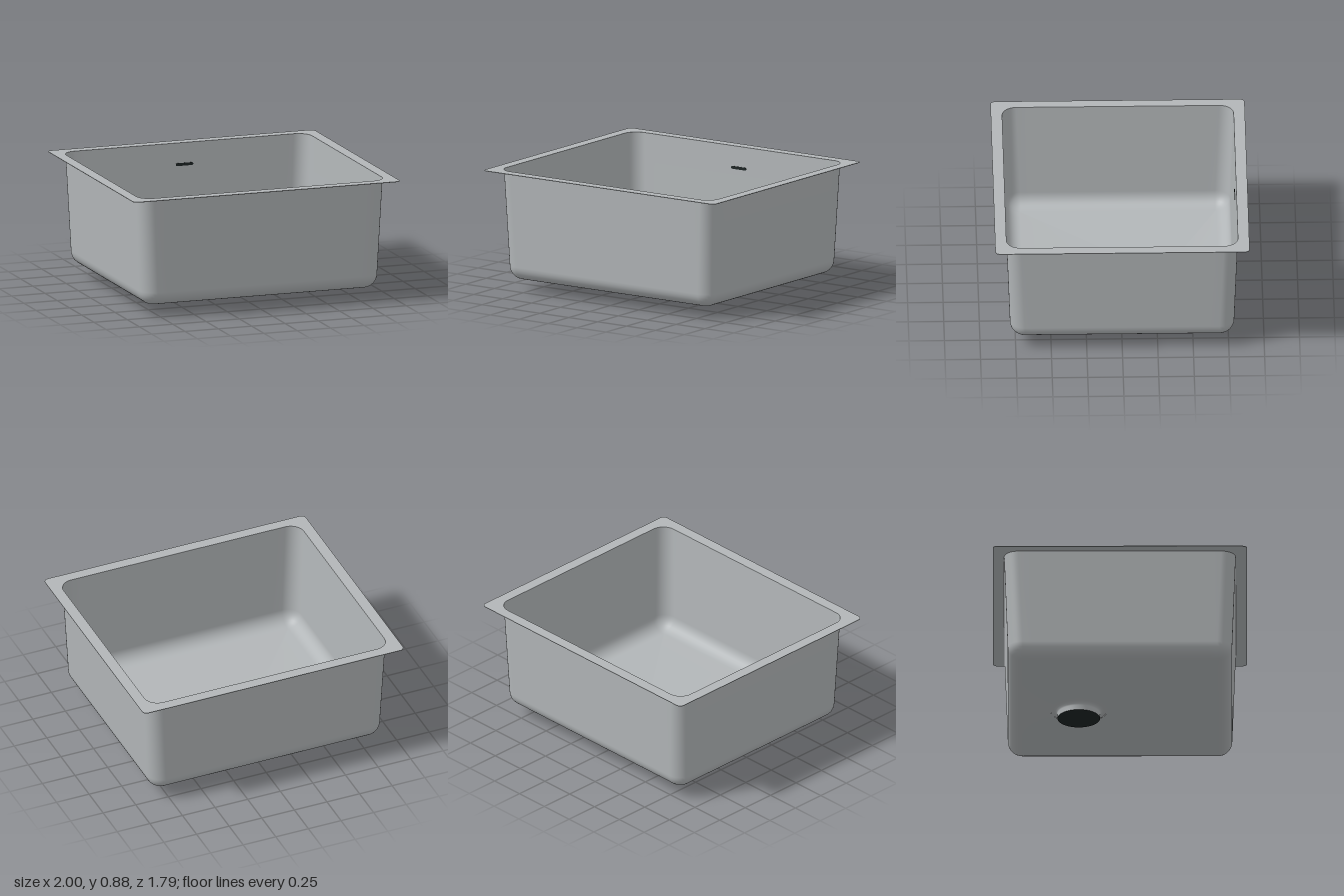
import * as THREE from 'three';

const RIM_Y = 0.875;
const DRAIN_Z = -0.29;
const DRAIN_R = 0.2;
const DRAIN_Y = 0.062;

// Points of a rounded rectangle: corner arcs joined by evenly divided sides
function roundedLoop(hx, hz, r, arc = 8, side = 20) {
  const pts = [];
  const corners = [[1, 1], [-1, 1], [-1, -1], [1, -1]];
  const arcPoint = (c, t) => {
    const a = (c + t) * Math.PI / 2;
    const [sx, sz] = corners[c];
    return new THREE.Vector2(sx * (hx - r) + r * Math.cos(a), sz * (hz - r) + r * Math.sin(a));
  };
  for (let c = 0; c < 4; c++) {
    for (let i = 0; i <= arc; i++) pts.push(arcPoint(c, i / arc));
    const from = arcPoint(c, 1), to = arcPoint((c + 1) % 4, 0);
    for (let i = 1; i < side; i++) pts.push(from.clone().lerp(to, i / side));
  }
  return pts;
}

// Skin a list of closed rings that share the same number of points
function loft(rings) {
  const n = rings[0].length, index = [];
  for (let k = 0; k < rings.length - 1; k++) {
    for (let i = 0; i < n; i++) {
      const a = k * n + i, b = k * n + (i + 1) % n;
      index.push(a, b, a + n, b, b + n, a + n);
    }
  }
  const geo = new THREE.BufferGeometry().setFromPoints(rings.flat());
  geo.setIndex(index);
  geo.computeVertexNormals();
  return geo;
}

export function createModel() {
  const model = new THREE.Group();
  const steel = new THREE.MeshStandardMaterial({ color: 0xb2b6b8, side: THREE.DoubleSide });
  steel.name = 'steel';
  const dark = new THREE.MeshStandardMaterial({ color: 0x1c2424, side: THREE.DoubleSide });
  dark.name = 'dark opening';

  const add = (name, geo, mat, x = 0, y = 0, z = 0) => {
    const mesh = new THREE.Mesh(geo, mat);
    mesh.name = name;
    mesh.position.set(x, y, z);
    model.add(mesh);
    return mesh;
  };

  // Flat mounting rim around the opening
  const rimShape = new THREE.Shape(roundedLoop(1, 0.895, 0.035));
  rimShape.holes.push(new THREE.Path(roundedLoop(0.92, 0.815, 0.1)));
  const rimGeo = new THREE.ExtrudeGeometry(rimShape, { depth: 0.004, bevelEnabled: false });
  rimGeo.rotateX(-Math.PI / 2);
  add('rim', rimGeo, steel, 0, RIM_Y - 0.004, 0);

  // Basin: tapered walls, rounded bottom edge, floor falling to the drain
  const ring = (hx, hz, r, y) => roundedLoop(hx, hz, r).map(p => new THREE.Vector3(p.x, y, p.y));
  const rings = [ring(0.92, 0.815, 0.1, RIM_Y - 0.001)];
  const fillet = 0.1, steps = 8;
  for (let i = 0; i <= steps; i++) {
    const a = i / steps * Math.PI / 2;
    const inset = fillet * (1 - Math.cos(a));
    rings.push(ring(0.89 - inset, 0.79 - inset, 0.105 - inset, 0.185 - fillet * Math.sin(a)));
  }
  const floorEdge = rings[rings.length - 1];
  const drainEdge = floorEdge.map(p => {
    const d = new THREE.Vector2(p.x, p.z - DRAIN_Z).setLength(DRAIN_R);
    return new THREE.Vector3(d.x, DRAIN_Y, DRAIN_Z + d.y);
  });
  for (let i = 1; i <= 6; i++) {
    rings.push(floorEdge.map((p, j) => p.clone().lerp(drainEdge[j], i / 6)));
  }
  add('basin', loft(rings), steel);

  // Drain funnel with its short outlet collar
  const funnel = [[0.15, 0], [0.15, 0.035], [0.154, 0.045], [0.163, 0.055], [0.178, 0.061], [DRAIN_R, DRAIN_Y + 0.001]]
    .map(([x, y]) => new THREE.Vector2(x, y));
  add('drainFunnel', new THREE.LatheGeometry(funnel, 64), steel, 0, 0, DRAIN_Z);
  const outlet = new THREE.CircleGeometry(0.15, 64);
  outlet.rotateX(Math.PI / 2);
  add('drainOutlet', outlet, dark, 0, 0.0005, DRAIN_Z);

  // Perforated strainer plate with two rings of holes
  const plate = new THREE.Shape().absarc(0, 0, 0.149, 0, Math.PI * 2);
  for (const [count, radius] of [[20, 0.106], [12, 0.07]]) {
    for (let i = 0; i < count; i++) {
      const a = i / count * Math.PI * 2;
      plate.holes.push(new THREE.Path().absarc(radius * Math.cos(a), radius * Math.sin(a), 0.01, 0, Math.PI * 2, true));
    }
  }
  const plateGeo = new THREE.ExtrudeGeometry(plate, { depth: 0.005, bevelEnabled: false, curveSegments: 24 });
  plateGeo.rotateX(-Math.PI / 2);
  add('strainer', plateGeo, steel, 0, 0.024, DRAIN_Z);
  add('strainerKnob', new THREE.CylinderGeometry(0.026, 0.028, 0.012, 32), steel, 0, 0.035, DRAIN_Z);

  // Overflow slot on the inside of the back wall
  const slotShape = new THREE.Shape(roundedLoop(0.065, 0.01, 0.009, 6, 2));
  const slot = add('overflowSlot', new THREE.ExtrudeGeometry(slotShape, { depth: 0.003, bevelEnabled: false }),
    dark, 0, 0.72, -0.8085);
  slot.rotation.x = -Math.atan2(0.025, 0.69);

  return model;
}
